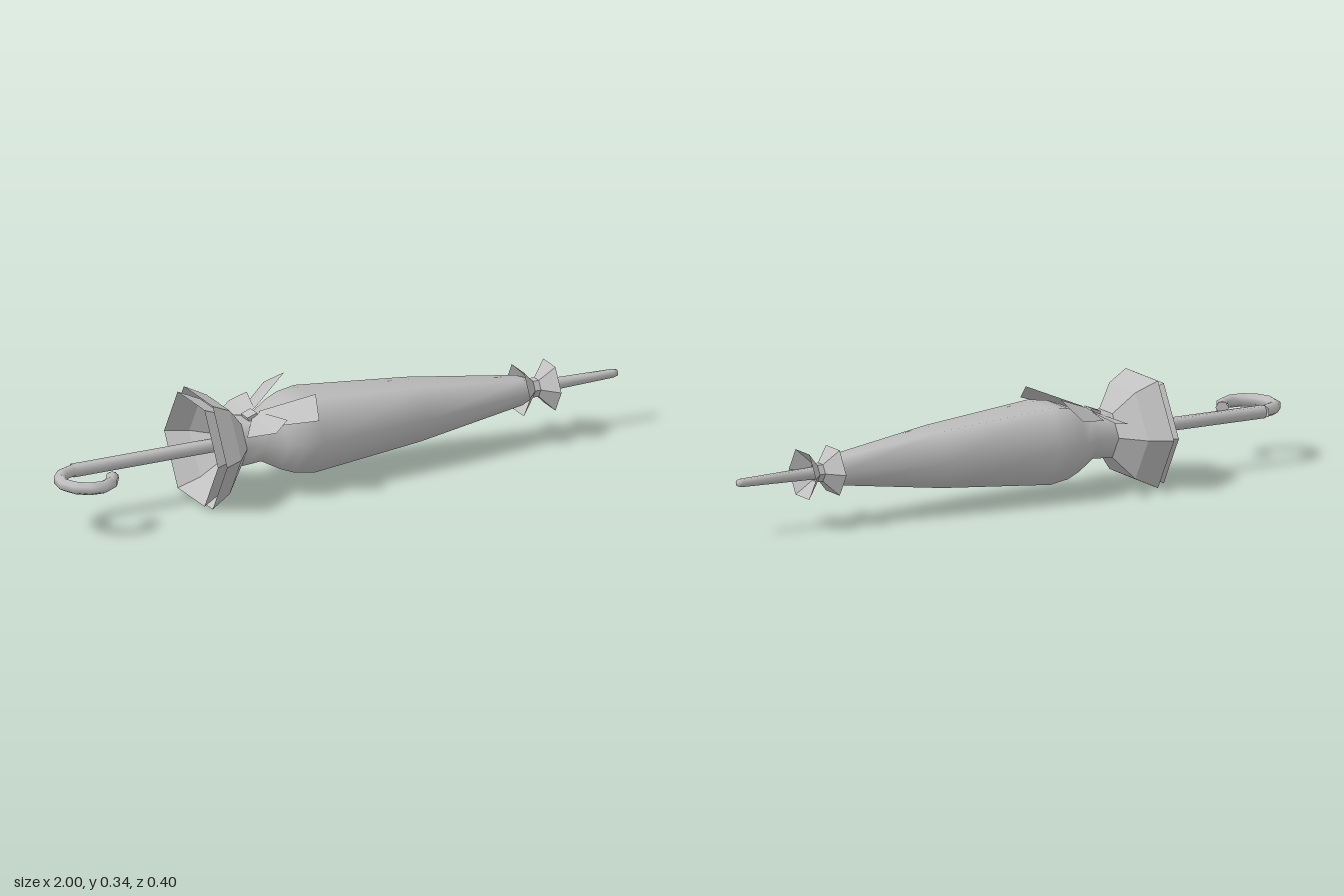
import * as THREE from 'three';

const AXIS_Y = 0.1715;
const HEX = 1 / Math.cos(Math.PI / 6); // flat half-height to corner radius

export function createModel() {
  const model = new THREE.Group();
  model.name = 'closedParasol';
  const grey = new THREE.MeshStandardMaterial({ color: 0xc0c0c0, side: THREE.DoubleSide });
  grey.name = 'plain grey';

  function add(name, geometry) {
    const mesh = new THREE.Mesh(geometry, grey);
    mesh.name = name;
    model.add(mesh);
    return mesh;
  }

  // Six-sided turned part along x; profile is [x, flat half-height]
  function hexTurned(name, profile, flat) {
    const points = profile.map(([x, h]) => new THREE.Vector2(h * HEX, x));
    let geometry = new THREE.LatheGeometry(points, 6);
    if (flat) {
      geometry = geometry.toNonIndexed();
      geometry.computeVertexNormals();
    }
    geometry.rotateZ(-Math.PI / 2);
    geometry.translate(0, AXIS_Y, 0);
    return add(name, geometry);
  }

  // Flat cloth piece, fanned from its first corner
  function cloth(name, corners) {
    const positions = [];
    for (let i = 1; i < corners.length - 1; i++) {
      positions.push(...corners[0], ...corners[i], ...corners[i + 1]);
    }
    const geometry = new THREE.BufferGeometry();
    geometry.setAttribute('position', new THREE.Float32BufferAttribute(positions, 3));
    geometry.computeVertexNormals();
    return add(name, geometry);
  }

  // Folded canopy
  hexTurned('canopy', [
    [-0.33, 0.07], [-0.26, 0.066], [-0.2, 0.097], [-0.155, 0.113],
    [-0.09, 0.122], [0.29, 0.09], [0.66, 0.042], [0.7, 0.026],
  ], false);

  // Open skirt and the lining that peeks out beneath it
  hexTurned('skirt', [[-0.46, 0.1715], [-0.39, 0.138], [-0.33, 0.07]], true);
  hexTurned('skirtLining', [[-0.485, 0.16], [-0.415, 0.13], [-0.35, 0.066], [-0.335, 0.01]], true);

  // Gathered frill near the tip, open at both ends
  hexTurned('tipFrill', [[0.655, 0.0725], [0.7, 0.027], [0.72, 0.027], [0.765, 0.0725]], true);

  // Tapered tip
  hexTurned('tip', [[0.68, 0.019], [0.985, 0.012], [1, 0.009], [1, 0]], false);

  // Straight shaft
  hexTurned('shaft', [[-0.9, 0.019], [-0.3, 0.019]], false);

  // Hooked handle, curling towards the front
  const hook = [
    [-0.9, 0], [-0.952, 0.026], [-0.979, 0.083], [-0.957, 0.143],
    [-0.898, 0.176], [-0.845, 0.155], [-0.815, 0.11],
  ].map(([x, z]) => new THREE.Vector3(x, AXIS_Y, z));
  const hookCurve = new THREE.CatmullRomCurve3(hook);
  add('handleHook', new THREE.TubeGeometry(hookCurve, 8, 0.021, 6, false));
  const end = new THREE.CircleGeometry(0.021, 6);
  const endCap = add('handleEnd', end);
  endCap.position.copy(hook[6]);
  endCap.lookAt(hook[6].clone().add(hookCurve.getTangent(1)));

  // Bow: knot, with a loop and a tail on each side
  const knot = add('bowKnot', new THREE.BoxGeometry(0.035, 0.018, 0.045));
  knot.position.set(-0.28, 0.248, 0);
  knot.rotation.z = 0.35;
  for (const s of [1, -1]) {
    cloth('bowLoop', [
      [-0.28, 0.248, 0.015 * s], [-0.345, 0.222, 0.11 * s],
      [-0.27, 0.242, 0.163 * s], [-0.22, 0.27, 0.14 * s], [-0.255, 0.262, 0.02 * s],
    ]);
    cloth('bowTail', [
      [-0.28, 0.232, 0.075 * s], [-0.135, 0.27, 0.192 * s],
      [-0.105, 0.326, 0.108 * s], [-0.255, 0.264, 0.015 * s],
    ]);
  }
  return model;
}
